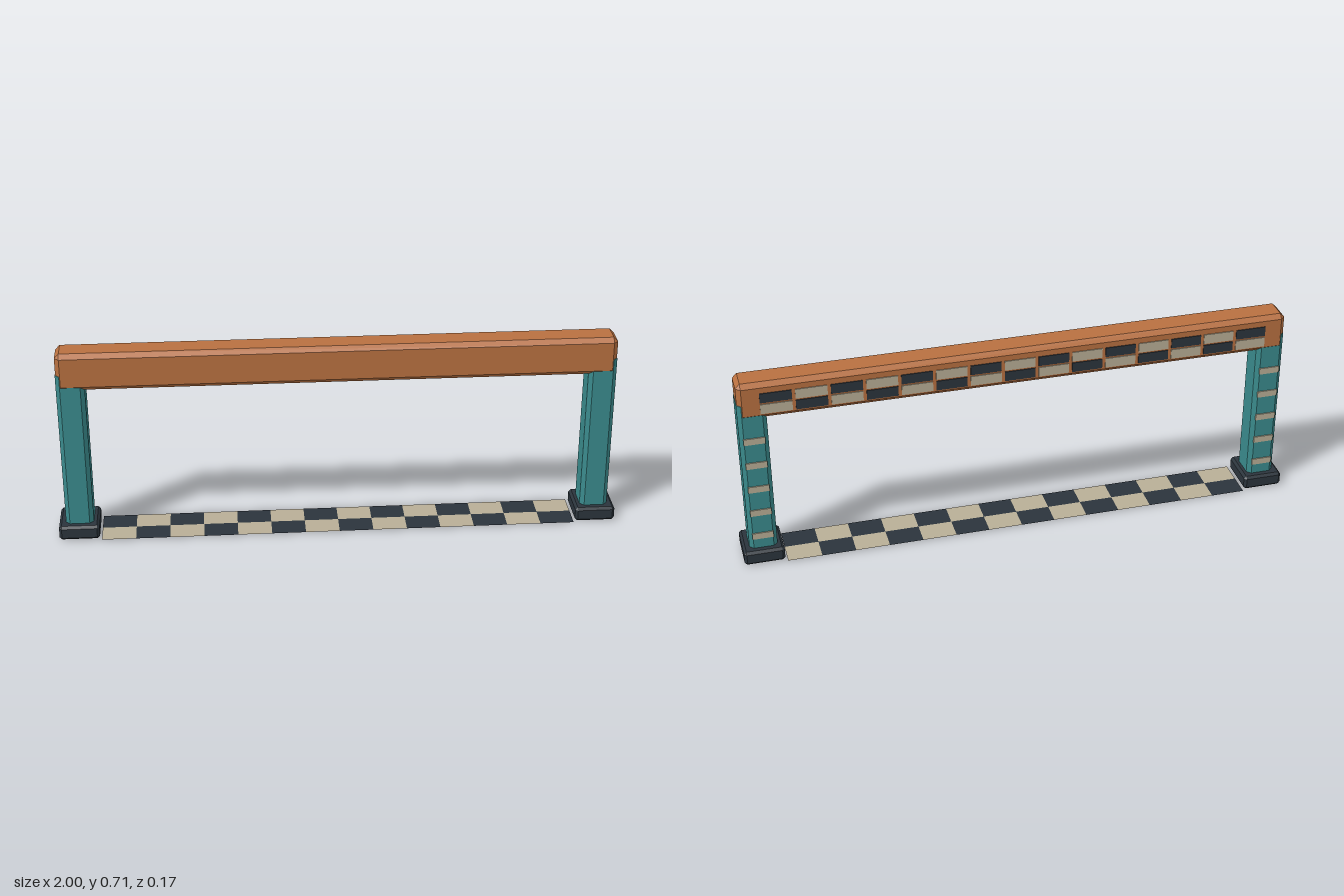
import * as THREE from 'three';
import { ConvexGeometry } from 'three/addons/geometries/ConvexGeometry.js';

const material = (color, side = THREE.FrontSide) =>
  new THREE.MeshStandardMaterial({ color, side, flatShading: true });

// Box with every edge cut by a single chamfer, given by its extents.
function chamferBox([x0, x1], [y0, y1], [z0, z1], c) {
  const half = [(x1 - x0) / 2, (y1 - y0) / 2, (z1 - z0) / 2];
  const points = [];
  for (const sx of [-1, 1]) for (const sy of [-1, 1]) for (const sz of [-1, 1]) {
    for (let axis = 0; axis < 3; axis++) {
      const p = half.map((h, i) => (i === axis ? h : h - c));
      points.push(new THREE.Vector3(p[0] * sx, p[1] * sy, p[2] * sz));
    }
  }
  return new ConvexGeometry(points).translate((x0 + x1) / 2, (y0 + y1) / 2, (z0 + z1) / 2);
}

export function createModel() {
  const model = new THREE.Group();
  model.name = 'finishGate';
  const orange = material(0xb87040);
  const teal = material(0x3a8a8c);
  const dark = material(0x2b343c);
  const cream = material(0xb8ae96);
  const groundDark = material(0x2b343c, THREE.DoubleSide);
  const groundCream = material(0xb8ae96, THREE.DoubleSide);

  function add(parent, name, geometry, mat, x = 0, y = 0, z = 0) {
    const mesh = new THREE.Mesh(geometry, mat);
    mesh.name = name;
    mesh.position.set(x, y, z);
    parent.add(mesh);
    return mesh;
  }

  // Crossbeam
  add(model, 'crossbeam', chamferBox([-0.974, 0.974], [0.575, 0.712], [-0.054, 0.054], 0.016), orange);

  // Posts with feet and rear stripes
  const stripe = new THREE.BoxGeometry(0.074, 0.024, 0.008);
  for (const side of [-1, 1]) {
    const post = new THREE.Group();
    post.name = side > 0 ? 'leftPost' : 'rightPost';
    model.add(post);
    const span = (a, b) => (side > 0 ? [a, b] : [-b, -a]);
    add(post, 'column', chamferBox(span(0.877, 0.976), [0, 0.645], [-0.052, 0.052], 0.0145), teal);
    add(post, 'foot', chamferBox(span(0.857, 1), [0.001, 0.054], [-0.078, 0.078], 0.009), dark);
    for (let i = 0; i < 5; i++) {
      add(post, 'stripe', stripe, cream, side * 0.9265, 0.105 + i * 0.0968, -0.052);
    }
  }

  // Raised checker tiles on the back of the beam
  const banner = new THREE.Group();
  banner.name = 'beamCheckers';
  model.add(banner);
  const tile = new THREE.BoxGeometry(0.109, 0.036, 0.006);
  for (let col = 0; col < 15; col++) {
    for (let row = 0; row < 2; row++) {
      add(banner, 'beamTile', tile, (col + row) % 2 ? dark : cream,
        (col - 7) * 0.1205, 0.615 + row * 0.042, -0.054);
    }
  }

  // Flat checkered line on the ground
  const line = new THREE.Group();
  line.name = 'groundCheckers';
  model.add(line);
  const pitch = 1.7 / 14;
  const square = new THREE.PlaneGeometry(pitch, 0.085).rotateX(-Math.PI / 2);
  for (let col = 0; col < 14; col++) {
    for (let row = 0; row < 2; row++) {
      add(line, 'groundTile', square, (col + row) % 2 ? groundCream : groundDark,
        (col - 6.5) * pitch, 0.003, row ? 0.0425 : -0.0425);
    }
  }
  return model;
}
